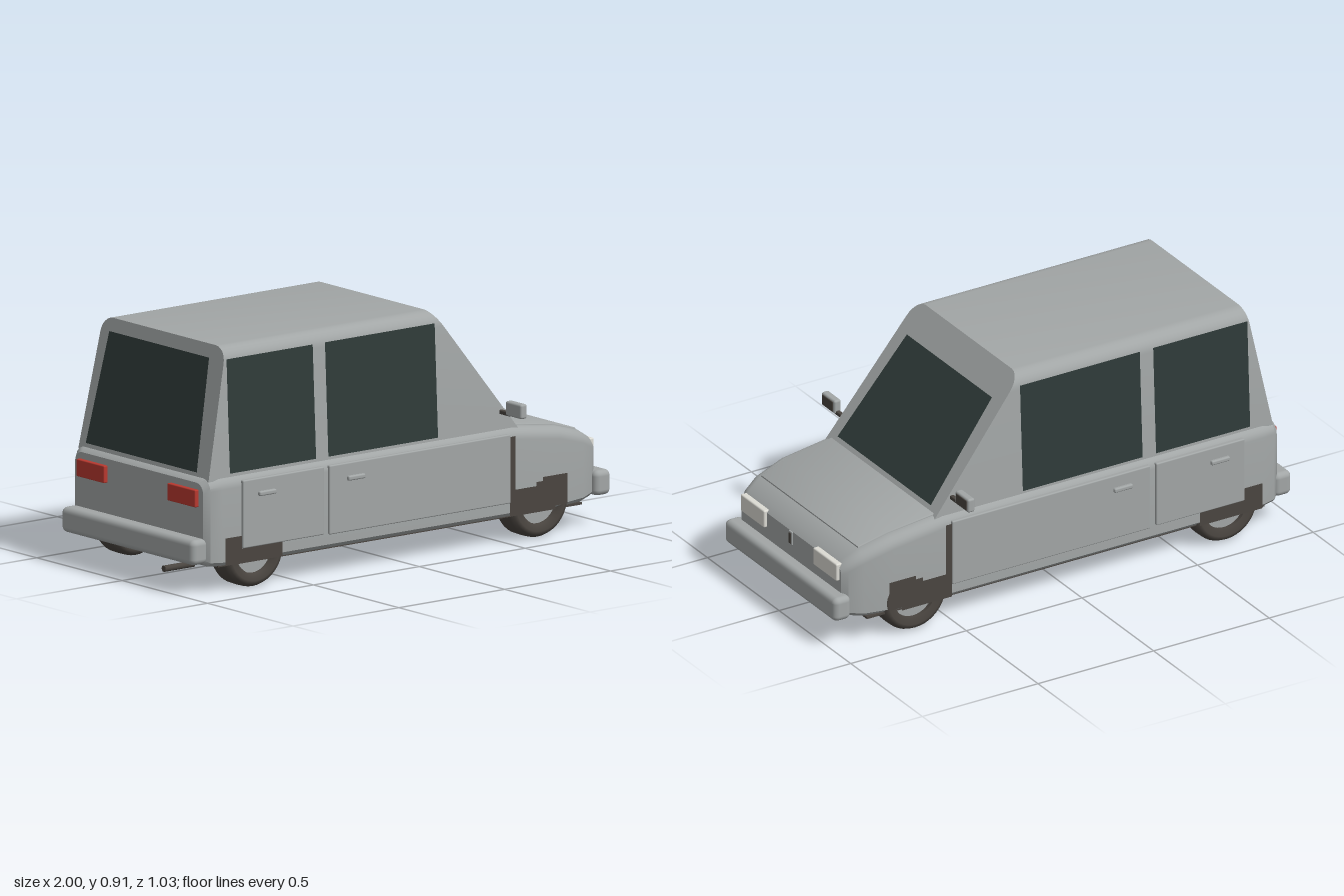
import * as THREE from 'three';
import { toCreasedNormals } from 'three/addons/utils/BufferGeometryUtils.js';
import { RoundedBoxGeometry } from 'three/addons/geometries/RoundedBoxGeometry.js';

const material = (name, color, side = THREE.FrontSide) => {
  const m = new THREE.MeshStandardMaterial({ color, side });
  m.name = name;
  return m;
};

// Skin a list of equal-sized rings and cap both ends
function loft(rings, crease = 0.6) {
  const n = rings[0].length, pos = rings.flat(2), idx = [];
  for (let s = 0; s < rings.length - 1; s++) {
    for (let i = 0; i < n; i++) {
      const j = (i + 1) % n, a = s * n + i, b = s * n + j;
      idx.push(a, a + n, b + n, a, b + n, b);
    }
  }
  const last = (rings.length - 1) * n;
  for (let i = 1; i < n - 1; i++) idx.push(0, i, i + 1, last, last + i + 1, last + i);
  const g = new THREE.BufferGeometry();
  g.setAttribute('position', new THREE.Float32BufferAttribute(pos, 3));
  g.setIndex(idx);
  return toCreasedNormals(g, crease);
}

// Cross-section at x: flat floor, upright sides, rounded shoulders
function section([x, w, y0, y1, r]) {
  const c = Math.min(0.015, r / 2);
  const right = [[w - c, y0], [w, y0 + c]];
  for (let i = 0; i <= 6; i++) {
    const a = (i / 6) * Math.PI / 2;
    right.push([w - r + r * Math.cos(a), y1 - r + r * Math.sin(a)]);
  }
  const left = right.map(([z, y]) => [-z, y]).reverse();
  return [...right, ...left].map(([z, y]) => [x, y, z]);
}

// Flat four-cornered pane
function pane(a, b, c, d) {
  const g = new THREE.BufferGeometry();
  g.setAttribute('position', new THREE.Float32BufferAttribute([a, b, c, d].flat(), 3));
  g.setIndex([0, 1, 2, 0, 2, 3]);
  g.computeVertexNormals();
  return g;
}

export function createModel() {
  const car = new THREE.Group();
  car.name = 'car';
  const paint = material('grey paint', 0xa2a6a6);
  const glass = material('dark glass', 0x2f3b39, THREE.DoubleSide);
  const rubber = material('dark rubber', 0x4a4540, THREE.DoubleSide);
  const lamp = material('white lamp', 0xdcdbd4);
  const red = material('red lamp', 0xb8392f);

  const add = (name, geometry, mat, x = 0, y = 0, z = 0) => {
    const m = new THREE.Mesh(geometry, mat);
    m.name = name;
    m.position.set(x, y, z);
    car.add(m);
    return m;
  };
  // Rounded block given by its limits
  const block = (name, mat, x0, x1, y0, y1, z0, z1, r = 0.005) =>
    add(name, new RoundedBoxGeometry(x1 - x0, y1 - y0, z1 - z0, 3, r), mat,
      (x0 + x1) / 2, (y0 + y1) / 2, (z0 + z1) / 2);
  // Same block on both sides of the car
  const pair = (name, mat, x0, x1, y0, y1, z0, z1, r) => {
    block(name + 'Left', mat, x0, x1, y0, y1, z0, z1, r);
    block(name + 'Right', mat, x0, x1, y0, y1, -z1, -z0, r);
  };

  // Lower body, hood and floor
  add('lowerBody', loft([
    [-0.92, 0.375, 0.115, 0.415, 0.04], [-0.9, 0.393, 0.103, 0.43, 0.045],
    [-0.85, 0.402, 0.1, 0.434, 0.045], [0.53, 0.404, 0.1, 0.435, 0.045],
    [0.75, 0.4, 0.1, 0.405, 0.045], [0.87, 0.384, 0.105, 0.37, 0.045],
    [0.925, 0.365, 0.115, 0.338, 0.04], [0.947, 0.347, 0.13, 0.315, 0.03],
  ].map(section)), paint);
  add('hood', loft([
    [0.545, 0.36, 0.41, 0.439, 0.004], [0.75, 0.352, 0.38, 0.411, 0.004],
    [0.868, 0.338, 0.35, 0.376, 0.004],
  ].map(section)), paint);
  add('floor', new THREE.BoxGeometry(1.72, 0.008, 0.775), rubber, 0, 0.1, 0);

  // Cabin, stacked in horizontal rings with a rounded roof edge
  const rearX = (y) => -0.9 + (y - 0.42) * 0.204;
  const frontX = (y) => 0.18 + (0.91 - y) * 0.79;
  const sideZ = (y) => 0.381 - (y - 0.42) * 0.047;
  const levels = [[0.42, sideZ(0.42)], [0.85, sideZ(0.85)]];
  for (let i = 1; i <= 6; i++) {
    const a = (i / 6) * Math.PI / 2;
    levels.push([0.85 + 0.06 * Math.sin(a), sideZ(0.85) - 0.06 * (1 - Math.cos(a))]);
  }
  add('cabin', loft(levels.map(([y, w]) => [
    [rearX(y), y, -w], [frontX(y), y, -w], [frontX(y), y, w], [rearX(y), y, w],
  ])), paint);

  // Windscreen and rear window
  const f = (y) => frontX(y) + 0.006, b = (y) => rearX(y) - 0.016;
  add('windscreen', pane([f(0.455), 0.455, 0.325], [f(0.455), 0.455, -0.325],
    [f(0.812), 0.812, -0.297], [f(0.812), 0.812, 0.297]), glass);
  add('rearWindow', pane([b(0.45), 0.45, -0.325], [b(0.45), 0.45, 0.325],
    [b(0.865), 0.865, 0.292], [b(0.865), 0.865, -0.292]), glass);

  // Bumpers
  block('frontBumper', paint, 0.925, 1, 0.115, 0.21, -0.388, 0.388, 0.022);
  block('rearBumper', paint, -0.98, -0.905, 0.115, 0.21, -0.388, 0.388, 0.022);

  // Lamps and nose slot
  pair('headlamp', lamp, 0.93, 0.96, 0.255, 0.325, 0.17, 0.335, 0.006);
  pair('tailLamp', red, -0.937, -0.9, 0.325, 0.39, 0.185, 0.348, 0.004);
  block('noseSlotFrame', paint, 0.935, 0.952, 0.26, 0.315, -0.012, 0.012, 0.003);
  block('noseSlot', rubber, 0.947, 0.955, 0.266, 0.309, -0.007, 0.007, 0.002);

  // Doors, handles and mirrors
  pair('rearDoor', paint, -0.76, -0.377, 0.157, 0.413, 0.39, 0.412);
  pair('frontDoor', paint, -0.352, 0.505, 0.153, 0.413, 0.39, 0.412);
  for (const x of [-0.69, -0.27]) pair('doorHandle', paint, x, x + 0.08, 0.346, 0.364, 0.405, 0.424, 0.006);
  pair('mirrorArm', rubber, 0.477, 0.494, 0.487, 0.503, 0.365, 0.44, 0.004);
  pair('mirrorHousing', paint, 0.47, 0.5, 0.49, 0.545, 0.42, 0.513, 0.008);
  pair('mirrorGlass', rubber, 0.496, 0.503, 0.498, 0.538, 0.43, 0.503, 0.002);

  // Side windows and blocky dark fender patches
  const outline = (points) => new THREE.ShapeGeometry(new THREE.Shape(points.map((p) => new THREE.Vector2(...p))));
  const frontPatch = outline([[0.505, 0.102], [0.72, 0.102], [0.72, 0.115], [0.775, 0.115],
    [0.775, 0.23], [0.66, 0.23], [0.66, 0.215], [0.63, 0.215], [0.63, 0.2], [0.53, 0.2], [0.53, 0.402], [0.505, 0.402]]);
  const rearPatch = outline([[-0.84, 0.102], [-0.57, 0.102], [-0.57, 0.157], [-0.76, 0.157], [-0.76, 0.205], [-0.84, 0.205]]);
  for (const s of [1, -1]) {
    for (const [x0, x1] of [[-0.8, -0.393], [-0.335, 0.183]]) {
      const z = (y) => s * (sideZ(y) + 0.003);
      add('sideWindow', pane([x0, 0.44, z(0.44)], [x1, 0.44, z(0.44)], [x1, 0.867, z(0.867)], [x0, 0.867, z(0.867)]), glass);
    }
    add('frontFenderPatch', frontPatch, rubber, 0, 0, s * 0.4065);
    add('rearFenderPatch', rearPatch, rubber, 0, 0, s * 0.4055);
  }

  // Wheels: rounded tyre ring with a recessed rim
  const tyre = new THREE.LatheGeometry([
    [0.088, -0.05], [0.115, -0.0575], [0.13, -0.052], [0.139, -0.035], [0.14, 0],
    [0.139, 0.035], [0.13, 0.052], [0.115, 0.0575], [0.088, 0.05], [0.088, -0.05],
  ].map((p) => new THREE.Vector2(...p)), 40).rotateX(Math.PI / 2);
  const rim = new THREE.CylinderGeometry(0.089, 0.089, 0.07, 32).rotateX(Math.PI / 2);
  for (const x of [-0.69, 0.655]) {
    for (const z of [0.342, -0.342]) {
      add('tyre', tyre, rubber, x, 0.14, z);
      add('rim', rim, paint, x, 0.14, z);
    }
  }

  // Exhaust pipe
  add('exhaust', new THREE.CylinderGeometry(0.012, 0.012, 0.14, 16).rotateZ(Math.PI / 2), rubber, -0.93, 0.086, 0.243);

  return car;
}
